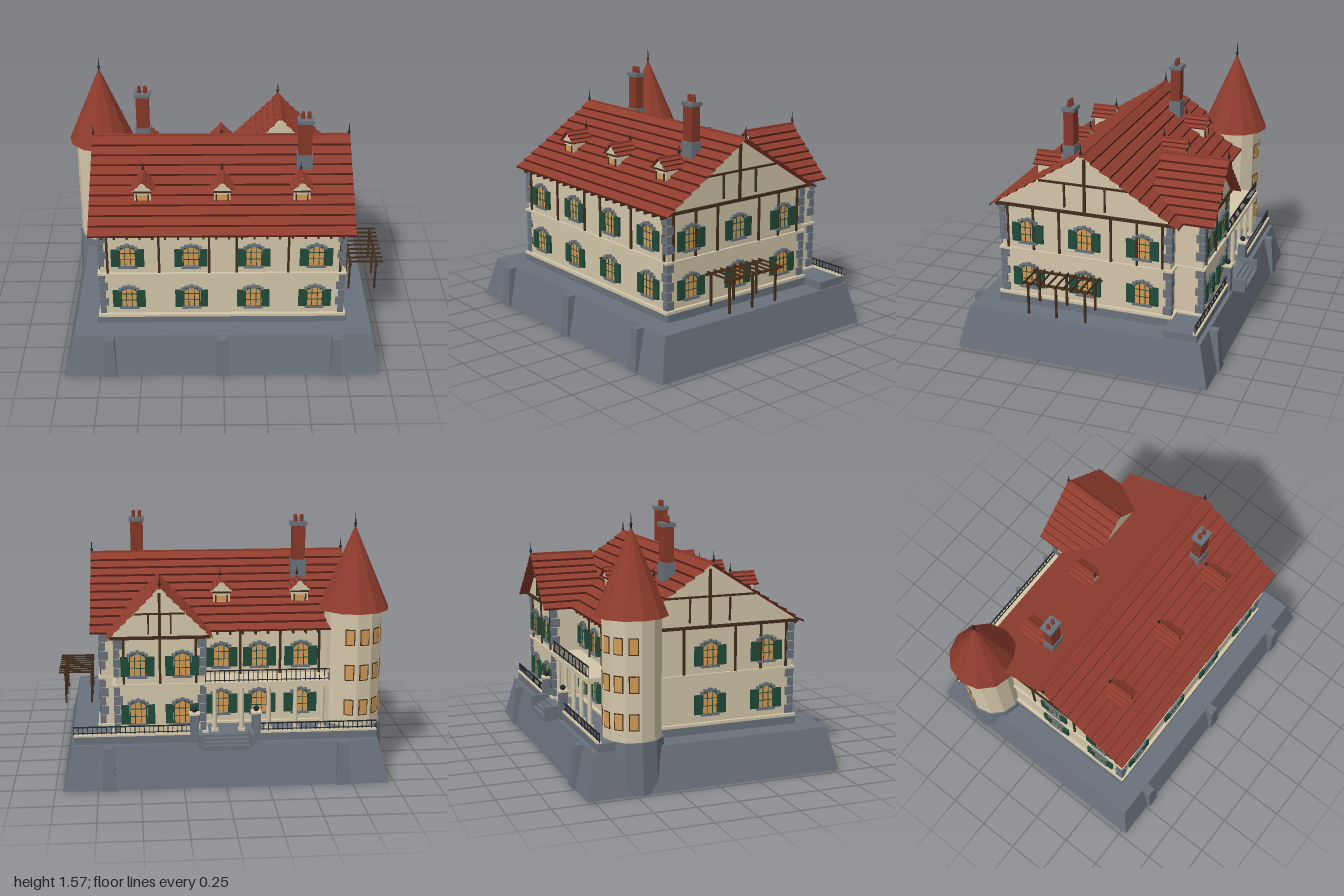
import * as THREE from 'three';

const mat = (name, color, side = THREE.FrontSide) => {
  const m = new THREE.MeshStandardMaterial({ color, side });
  m.name = name;
  return m;
};

export function createModel() {
  const stone = mat('stone', 0x69717b), cream = mat('cream plaster', 0xd3c6a9);
  const red = mat('roof red', 0x8f3c2d, THREE.DoubleSide), edge = mat('tile edge', 0x54201a, THREE.DoubleSide);
  const brick = mat('brick', 0x843828), wood = mat('timber', 0x422d1c);
  const green = mat('shutter green', 0x204a3a), glass = mat('warm glass', 0xd39b57);
  const iron = mat('iron', 0x24272b);
  const root = new THREE.Group();

  const add = (p, name, geo, m, x = 0, y = 0, z = 0) => {
    const o = new THREE.Mesh(geo, m);
    o.name = name;
    o.position.set(x, y, z);
    p.add(o);
    return o;
  };
  const group = (p, name, x = 0, y = 0, z = 0, ry = 0) => {
    const g = new THREE.Group();
    g.name = name;
    g.position.set(x, y, z);
    g.rotation.y = ry;
    p.add(g);
    return g;
  };
  // box given by its min and max corners
  const box = (p, name, m, x0, x1, y0, y1, z0, z1) =>
    add(p, name, new THREE.BoxGeometry(x1 - x0, y1 - y0, z1 - z0), m, (x0 + x1) / 2, (y0 + y1) / 2, (z0 + z1) / 2);
  const flat = (g) => { const f = g.toNonIndexed(); f.computeVertexNormals(); return f; };
  // block with separate bottom and top rectangles [x0, x1, z0, z1]
  const taper = (p, name, m, b, t, y0, y1) => {
    const g = new THREE.BoxGeometry(1, 1, 1), a = g.attributes.position;
    for (let i = 0; i < a.count; i++) {
      const r = a.getY(i) > 0 ? t : b;
      a.setXYZ(i, a.getX(i) > 0 ? r[1] : r[0], a.getY(i) > 0 ? y1 : y0, a.getZ(i) > 0 ? r[3] : r[2]);
    }
    return add(p, name, flat(g), m);
  };
  const finial = (p, x, y, z, h) => {
    add(p, 'finial', new THREE.CylinderGeometry(0.001, 0.006, h, 6), iron, x, y + h / 2, z);
    add(p, 'finialBall', new THREE.SphereGeometry(0.009, 8, 6), iron, x, y + h * 0.3, z);
  };

  // gable roof, ridge along local z: rows of overlapping tiles with dark lower edges
  const roof = (p, hw, y0, y1, len, rows, lip) => {
    const tiles = [], lips = [], e = len / 2;
    const strip = (out, s, xa, ya, xb, yb) => {
      const A = [s * xa, ya, -e], B = [s * xa, ya, e], C = [s * xb, yb, e], D = [s * xb, yb, -e];
      out.push(...(s > 0 ? [A, D, B, B, D, C] : [A, B, D, B, C, D]).flat());
    };
    for (const s of [1, -1]) for (let i = 0; i < rows; i++) {
      const a = i / rows, b = (i + 1) / rows, h = y1 - y0;
      strip(lips, s, hw * (1 - a), y0 + h * a, hw * (1 - a), y0 + h * a + lip);
      strip(tiles, s, hw * (1 - a), y0 + h * a + lip, hw * (1 - b), y0 + h * b + (b === 1 ? lip : 0));
    }
    [[tiles, red, 'roofTiles'], [lips, edge, 'tileEdges']].forEach(([v, m, n]) => {
      const g = new THREE.BufferGeometry();
      g.setAttribute('position', new THREE.Float32BufferAttribute(v, 3));
      g.computeVertexNormals();
      add(p, n, g, m);
    });
    box(p, 'ridgeCap', red, -0.008, 0.008, y1, y1 + lip + 0.004, -e, e);
  };
  const gable = (p, hw, y0, y1, za, zb) => {
    const s = new THREE.Shape([new THREE.Vector2(-hw, y0), new THREE.Vector2(hw, y0), new THREE.Vector2(0, y1)]);
    add(p, 'gableWall', new THREE.ExtrudeGeometry(s, { depth: zb - za, bevelEnabled: false }), cream, 0, 0, za);
  };
  // timber pattern on a gable end; s is the outward direction along z
  const gableTimbers = (p, hw, y0, y1, z, s) => {
    const h = y1 - y0, za = Math.min(z, z + s * 0.012), zb = za + 0.012;
    box(p, 'gableBeam', wood, -hw, hw, y0 - 0.008, y0 + 0.01, za, zb);
    box(p, 'collarBeam', wood, -hw * 0.5, hw * 0.5, y0 + h * 0.47, y0 + h * 0.5, za, zb);
    box(p, 'kingPost', wood, -0.008, 0.008, y0, y1 - 0.03, za, zb);
    for (const d of [-1, 1]) box(p, 'gableStud', wood, d * hw * 0.22 - 0.005, d * hw * 0.22 + 0.005, y0 + h * 0.08, y0 + h * 0.46, za, zb);
  };

  // arched window with shutters; local +z points outward
  const arch = (w, h, rise, C = THREE.Shape) => {
    const s = new C();
    s.moveTo(-w, 0); s.lineTo(w, 0); s.lineTo(w, h);
    s.quadraticCurveTo(w * 0.7, h + rise, 0, h + rise);
    s.quadraticCurveTo(-w * 0.7, h + rise, -w, h);
    return s;
  };
  const frameShape = arch(0.052, 0.112, 0.028);
  const hole = arch(0.044, 0.106, 0.024, THREE.Path);
  frameShape.holes.push(hole);
  const frameGeo = new THREE.ExtrudeGeometry(frameShape, { depth: 0.01, bevelEnabled: false });
  const paneGeo = new THREE.ExtrudeGeometry(arch(0.048, 0.108, 0.025), { depth: 0.005, bevelEnabled: false });
  const windowAt = (p, x, y, z, ry) => {
    const g = group(p, 'window', x, y, z, ry);
    add(g, 'pane', paneGeo, glass);
    add(g, 'windowFrame', frameGeo, green);
    for (const mx of [-0.017, 0.017]) box(g, 'mullion', green, mx - 0.002, mx + 0.002, 0, 0.125, 0.003, 0.008);
    for (const my of [0.045, 0.09]) box(g, 'glazingBar', green, -0.048, 0.048, my - 0.002, my + 0.002, 0.003, 0.008);
    for (const s of [-1, 1]) {
      box(g, 'shutter', green, s * 0.076 - 0.023, s * 0.076 + 0.023, -0.002, 0.115, 0, 0.014);
      box(g, 'archStone', stone, s * 0.051 - 0.011, s * 0.051 + 0.011, 0.113, 0.134, 0, 0.014);
      box(g, 'archStone', stone, s * 0.027 - 0.014, s * 0.027 + 0.014, 0.132, 0.146, 0, 0.014);
    }
    box(g, 'keystone', stone, -0.011, 0.011, 0.134, 0.154, 0, 0.018);
    box(g, 'sill', stone, -0.058, 0.058, -0.014, 0, 0, 0.018);
  };
  const LEVELS = [0.367, 0.658];

  // sloped stone terrace base with buttresses
  taper(root, 'base', stone, [-0.97, 0.955, -0.785, 0.785], [-0.905, 0.9, -0.725, 0.725], 0, 0.255);
  for (const x of [-0.69, -0.005, 0.685])
    taper(root, 'frontButtress', stone, [x - 0.042, x + 0.042, 0.6, 0.8], [x - 0.028, x + 0.028, 0.6, 0.78], 0, 0.252);
  for (const x of [-0.69, 0.685])
    taper(root, 'backButtress', stone, [x - 0.042, x + 0.042, -0.8, -0.6], [x - 0.028, x + 0.028, -0.775, -0.6], 0, 0.252);
  box(root, 'plinth', stone, -0.77, 0.755, 0.25, 0.3, -0.51, 0.59);
  box(root, 'backTerrace', stone, -0.9, 0.89, 0.25, 0.304, -0.7, -0.5);

  // main house and back wing walls
  box(root, 'mainWalls', cream, -0.74, 0.725, 0.3, 0.887, -0.49, 0.57);
  box(root, 'wingWalls', cream, 0.12, 0.64, 0.3, 0.887, -0.66, -0.45);
  for (const [y, h, o] of [[0.298, 0.018, 0.022], [0.594, 0.014, 0.016]]) {
    box(root, 'mainBand', cream, -0.74 - o, 0.725 + o, y, y + h, -0.49 - o, 0.57 + o);
    box(root, 'wingBand', cream, 0.12 - o, 0.64 + o, y, y + h, -0.66 - o, -0.45);
  }

  // corner stones, alternating long and short
  for (const [cx, cz, sx, sz] of [[0.725, 0.57, 1, 1], [-0.74, 0.57, -1, 1], [0.725, -0.49, 1, -1], [0.64, -0.66, 1, -1], [0.12, -0.66, -1, -1]])
    for (let i = 0; i < 10; i++) {
      const y = 0.318 + i * 0.056, a = i % 2 ? 0.042 : 0.026, b = i % 2 ? 0.026 : 0.042;
      if (y < 0.61 && y + 0.05 > 0.594) continue;
      box(root, 'cornerStone', stone, cx + (sx > 0 ? -a : -0.01), cx + (sx > 0 ? 0.01 : a), y, y + 0.05,
        cz + (sz > 0 ? -b : -0.01), cz + (sz > 0 ? 0.01 : b));
    }

  // windows
  for (const y of LEVELS) {
    for (const x of [-0.572, -0.193, 0.182, 0.556]) windowAt(root, x, y, 0.57, 0);
    for (const z of [0.4, 0.04, -0.32]) windowAt(root, 0.725, y, z, Math.PI / 2);
    for (const z of [0.4, 0.04]) windowAt(root, -0.74, y, z, -Math.PI / 2);
    for (const x of [0.25, 0.51]) windowAt(root, x, y, -0.66, Math.PI);
    for (const x of [-0.47, -0.22, 0.01]) windowAt(root, x, y, -0.49, Math.PI);
  }

  // upper floor timber posts
  const post = (x, z) => box(root, 'timberPost', wood, x - 0.007, x + 0.007, 0.608, 0.88, z - 0.007, z + 0.007);
  for (const x of [-0.695, -0.385, -0.085, 0.08, 0.39, 0.702]) post(x, 0.572);
  for (const z of [0.53, 0.365, 0.2, -0.125, -0.285, -0.44]) { post(0.727, z); if (z > -0.2) post(-0.742, z); }
  for (const x of [0.17, 0.38, 0.59]) post(x, -0.662);
  for (const x of [-0.58, -0.345, -0.105]) post(x, -0.492);

  // main roof
  const main = group(root, 'mainRoof', -0.0075, 0, 0.035, Math.PI / 2);
  roof(main, 0.583, 0.882, 1.253, 1.585, 10, 0.012);
  gable(main, 0.57, 0.884, 1.247, -0.735, 0.735);
  for (const s of [-1, 1]) {
    gableTimbers(main, 0.57, 0.885, 1.253, s * 0.735, s);
    finial(main, 0, 1.255, s * 0.785, 0.08);
  }
  for (let i = 0; i < 20; i++) {
    const x = -0.72 + i * 0.0753;
    box(root, 'rafterTail', wood, x - 0.006, x + 0.006, 0.86, 0.885, 0.565, 0.607);
    if (x > -0.6 && x < 0.08) box(root, 'rafterTail', wood, x - 0.006, x + 0.006, 0.86, 0.885, -0.535, -0.485);
  }

  // back wing roof
  const wing = group(root, 'wingRoof', 0.38, 0, -0.525);
  roof(wing, 0.305, 0.882, 1.185, 0.41, 8, 0.012);
  gable(wing, 0.297, 0.884, 1.18, -0.14, 0.195);
  gableTimbers(wing, 0.295, 0.885, 1.18, -0.14, -1);
  finial(wing, 0, 1.19, -0.2, 0.08);

  // dormers
  for (const [x, s] of [[-0.48, 1], [-0.005, 1], [0.47, 1], [-0.48, -1], [-0.005, -1]]) {
    const d = group(root, 'dormer', x, 0, 0.035, s > 0 ? 0 : Math.PI);
    box(d, 'dormerWalls', cream, -0.05, 0.05, 0.98, 1.085, 0.24, 0.38);
    box(d, 'dormerPane', glass, -0.03, 0.03, 1.02, 1.055, 0.378, 0.385);
    for (const m of [-1, 1]) box(d, 'dormerJamb', wood, m * 0.035 - 0.004, m * 0.035 + 0.004, 1.015, 1.06, 0.378, 0.388);
    box(d, 'dormerLintel', wood, -0.055, 0.055, 1.072, 1.082, 0.376, 0.39);
    const r = group(d, 'dormerRoof', 0, 0, 0.32);
    roof(r, 0.07, 1.078, 1.142, 0.165, 3, 0.007);
    gable(r, 0.065, 1.08, 1.138, -0.08, 0.065);
    finial(r, 0, 1.145, -0.075, 0.06);
  }

  // chimneys
  for (const [x, z, y] of [[-0.495, -0.137, 0.015], [0.495, 0.207, 0]]) {
    const c = group(root, 'chimney', x, y, z);
    box(c, 'chimneyBase', stone, -0.048, 0.048, 1.05, 1.222, -0.037, 0.037);
    box(c, 'chimneyStack', brick, -0.04, 0.04, 1.222, 1.435, -0.031, 0.031);
    box(c, 'chimneyCap', stone, -0.05, 0.05, 1.432, 1.455, -0.04, 0.04);
    for (const s of [-1, 1]) add(c, 'chimneyPot', new THREE.CylinderGeometry(0.011, 0.013, 0.045, 10), brick, s * 0.019, 1.474, 0);
  }

  // round tower, twelve sided
  const tower = group(root, 'tower', -0.787, 0, -0.46);
  const cyl = (name, r0, r1, y0, y1, m) => add(tower, name, flat(new THREE.CylinderGeometry(r1, r0, y1 - y0, 12)), m, 0, (y0 + y1) / 2, 0);
  cyl('towerFoot', 0.195, 0.183, 0, 0.302, stone);
  cyl('towerWall', 0.172, 0.172, 0.3, 1.005, cream);
  cyl('towerRoof', 0.213, 0.002, 1.0, 1.49, red);
  finial(tower, 0, 1.475, 0, 0.095);
  for (const deg of [195, 225, 255, 285]) {
    const a = deg * Math.PI / 180;
    for (const y of [0.42, 0.635, 0.85]) {
      const w = group(tower, 'towerWindow', Math.cos(a) * 0.166, y, Math.sin(a) * 0.166, Math.PI / 2 - a);
      box(w, 'towerFrame', wood, -0.029, 0.029, -0.049, 0.049, -0.003, 0.003);
      box(w, 'towerPane', glass, -0.023, 0.023, -0.043, 0.043, 0, 0.006);
    }
  }

  // iron railing along x
  const railing = (p, x0, x1, y0, y1, z) => {
    const n = Math.round((x1 - x0) / 0.028);
    box(p, 'topRail', iron, x0, x1, y1 - 0.006, y1, z - 0.004, z + 0.004);
    box(p, 'bottomRail', iron, x0, x1, y0 + 0.008, y0 + 0.012, z - 0.003, z + 0.003);
    for (let i = 0; i <= n; i++) {
      const x = x0 + (x1 - x0) * i / n;
      box(p, 'baluster', iron, x - 0.002, x + 0.002, y0, y1, z - 0.002, z + 0.002);
    }
  };

  // balcony on columns
  box(root, 'balconyDeck', cream, -0.62, 0.12, 0.585, 0.608, -0.675, -0.485);
  railing(root, -0.615, 0.115, 0.608, 0.68, -0.662);
  for (let i = 0; i < 5; i++) {
    const x = -0.58 + i * 0.16;
    add(root, 'column', new THREE.CylinderGeometry(0.012, 0.015, 0.28, 12), cream, x, 0.445, -0.645);
    box(root, 'columnFoot', cream, x - 0.02, x + 0.02, 0.304, 0.32, -0.665, -0.625);
    box(root, 'columnHead', cream, x - 0.02, x + 0.02, 0.57, 0.586, -0.665, -0.625);
  }

  // terrace coping, railings, gate piers and steps
  for (const [a, b] of [[-0.9, -0.2], [0.2, 0.89]]) {
    box(root, 'coping', cream, a, b, 0.302, 0.313, -0.703, -0.677);
    railing(root, a, b, 0.312, 0.362, -0.69);
  }
  for (const s of [-1, 1]) {
    box(root, 'gatePier', stone, s * 0.182 - 0.025, s * 0.182 + 0.025, 0.25, 0.425, -0.715, -0.665);
    box(root, 'pierCap', cream, s * 0.182 - 0.031, s * 0.182 + 0.031, 0.425, 0.437, -0.721, -0.659);
    add(root, 'pierBall', new THREE.SphereGeometry(0.017, 12, 8), iron, s * 0.182, 0.452, -0.69);
    box(root, 'stairWall', stone, s * 0.15 - 0.013, s * 0.15 + 0.013, 0.25, 0.33, -0.8, -0.69);
  }
  for (let i = 0; i < 4; i++)
    box(root, 'step', stone, -0.14, 0.14, 0.235, 0.304 - i * 0.014, -0.72 - i * 0.026, -0.69 - i * 0.026);

  // pergola
  for (const x of [0.797, 0.96]) {
    box(root, 'pergolaBeam', wood, x - 0.006, x + 0.006, 0.5, 0.513, -0.095, 0.345);
    for (const z of [0.305, 0.13, -0.05]) box(root, 'pergolaPost', wood, x - 0.006, x + 0.006, 0.308, 0.505, z - 0.006, z + 0.006);
  }
  for (let i = 0; i < 9; i++) {
    const z = -0.075 + i * 0.0495;
    box(root, 'pergolaSlat', wood, 0.785, 1.0, 0.512, 0.522, z - 0.004, z + 0.004);
  }
  return root;
}
